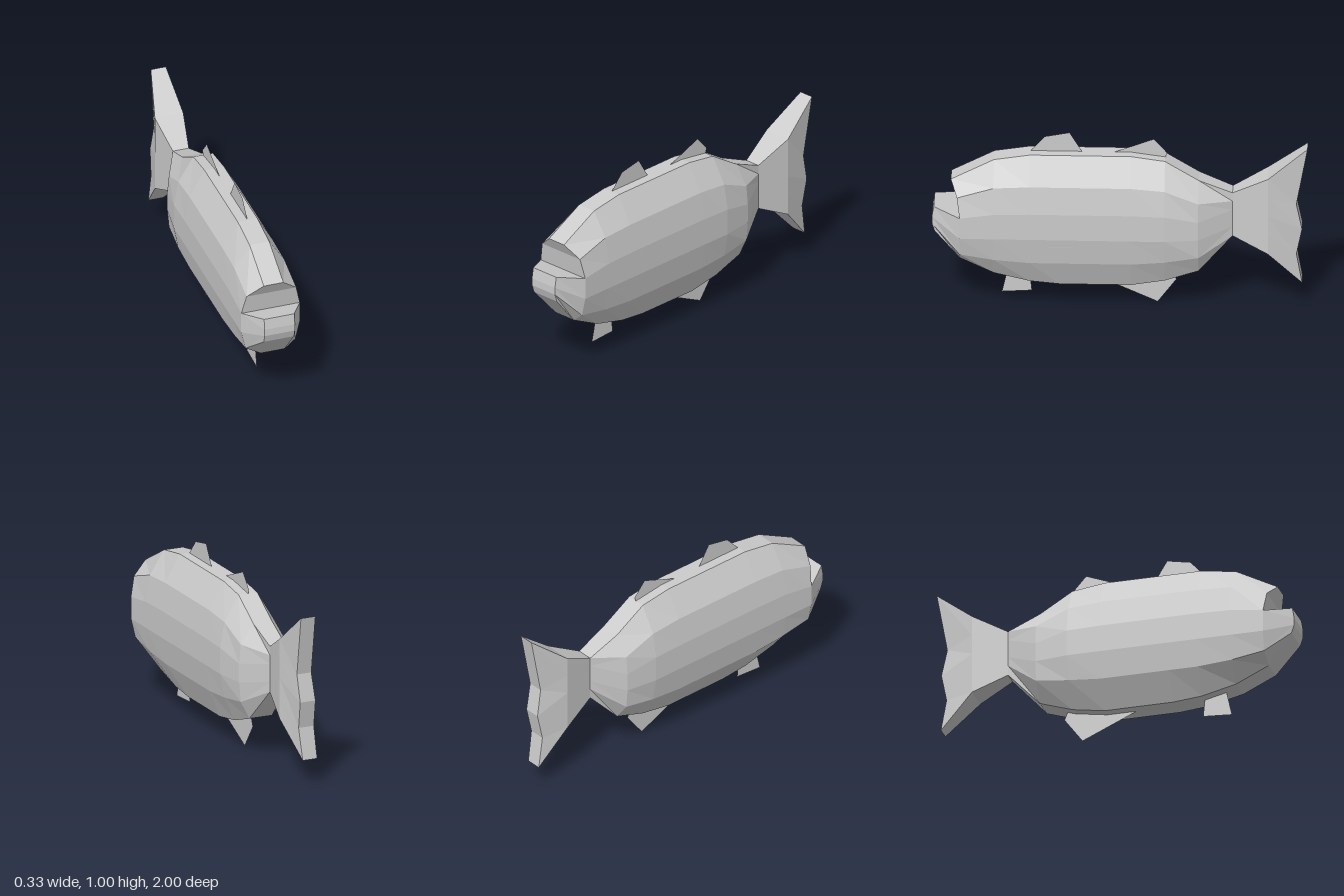
import * as THREE from 'three';

const material = new THREE.MeshStandardMaterial({ color: 0xcccccc, flatShading: true });
const finMaterial = new THREE.MeshStandardMaterial({ color: 0xcccccc, flatShading: true, side: THREE.DoubleSide });

// Cross-section: rows run from top to bottom, each [x, y, z, x of the other side].
const side = (rows) => ({
  left: rows.map(([x, y, z]) => new THREE.Vector3(x, y, z)),
  right: rows.map(([x, y, z, other = x]) => new THREE.Vector3(-other, y, z)),
});
const loop = (s) => [...s.left, ...[...s.right].reverse()];

function quad(out, a, b, c, d) {
  for (const p of [a, b, c, a, c, d]) out.push(p);
}

// Skin between consecutive sections, front to back.
function loft(out, sections, closed = true) {
  for (let k = 0; k < sections.length - 1; k++) {
    const a = loop(sections[k]), b = loop(sections[k + 1]);
    const n = a.length;
    for (let i = 0; i < (closed ? n : n - 1); i++) {
      const j = (i + 1) % n;
      quad(out, a[i], a[j], b[j], b[i]);
    }
  }
}

// Strips running across from right to left, facing forward or backward.
function across(out, s, backward = false) {
  const [p, q] = backward ? [s.left, s.right] : [s.right, s.left];
  for (let i = 0; i < p.length - 1; i++) quad(out, p[i], p[i + 1], q[i + 1], q[i]);
}

function mesh(name, points) {
  const geometry = new THREE.BufferGeometry().setFromPoints(points);
  geometry.computeVertexNormals();
  const m = new THREE.Mesh(geometry, material);
  m.name = name;
  return m;
}

// Flat fin in the middle plane, outline as [z, y].
function fin(name, outline) {
  const shape = new THREE.Shape(outline.map(([z, y]) => new THREE.Vector2(-z, y)));
  const m = new THREE.Mesh(new THREE.ShapeGeometry(shape), finMaterial);
  m.rotation.y = Math.PI / 2;
  m.name = name;
  return m;
}

export function createModel() {
  const fish = new THREE.Group();
  fish.name = 'fish';

  // Body: six heights per station, belly slightly wider on the left
  const widths = [0.055, 0.14, 0.165, 0.165, 0.14, 0.08];
  const station = (z, ys, xs = widths, belly = 0.055) =>
    side(ys.map((y, i) => [xs[i], y, z, i === 5 ? belly : xs[i]]));
  const mouthRows = [
    [0.055, 0.74, 0.9], [0.14, 0.67, 0.865], [0.165, 0.56, 0.85],
    [0.165, 0.44, 0.85], [0.14, 0.335, 0.85], [0.08, 0.285, 0.85, 0.055],
  ];
  const stations = [
    side(mouthRows),
    station(0.67, [0.86, 0.73, 0.585, 0.44, 0.305, 0.2]),
    station(0.48, [0.89, 0.74, 0.59, 0.44, 0.29, 0.155]),
    station(0.32, [0.89, 0.74, 0.59, 0.44, 0.29, 0.14]),
    station(-0.06, [0.89, 0.74, 0.59, 0.44, 0.29, 0.14]),
    station(-0.24, [0.865, 0.725, 0.585, 0.44, 0.305, 0.17]),
    station(-0.42, [0.755, 0.65, 0.545, 0.44, 0.33, 0.23], [0.055, 0.13, 0.14, 0.14, 0.13, 0.08]),
    station(-0.6, [0.68, 0.63, 0.58, 0.53, 0.48, 0.425], Array(6).fill(0.045), 0.045),
  ];
  const body = [];
  loft(body, stations);
  across(body, side(mouthRows.slice(0, 3)));
  fish.add(mesh('body', body));

  // Jutting lower jaw with the floor of the open mouth
  const lipRows = [[0.085, 0.59, 0.99], [0.085, 0.53, 1], [0.085, 0.49, 1], [0.085, 0.445, 0.985]];
  const jaw = [];
  loft(jaw, [side(lipRows), side(mouthRows.slice(2))], false);
  across(jaw, side([mouthRows[2], ...lipRows]));
  fish.add(mesh('lowerJaw', jaw));

  // Tail fin: thick wedge with a scalloped trailing edge
  const trailing = [
    [0.055, 0.95, -1, 0.03], [0.05, 0.62, -0.94, 0.035], [0.045, 0.47, -0.97, 0.045],
    [0.04, 0.32, -0.94, 0.05], [0.03, 0.145, -0.97, 0.055],
  ];
  const tail = [];
  loft(tail, [
    side([0.68, 0.62, 0.55, 0.49, 0.425].map((y) => [0.045, y, -0.6])),
    side([0.78, 0.67, 0.56, 0.45, 0.335].map((y) => [0.08, y, -0.79])),
    side(trailing),
  ]);
  across(tail, side(trailing), true);
  fish.add(mesh('tailFin', tail));

  // Thin fins
  fish.add(
    fin('frontDorsalFin', [[0.48, 0.885], [0.4, 0.975], [0.27, 1.0], [0.2, 0.885]]),
    fin('rearDorsalFin', [[0.03, 0.89], [-0.18, 0.97], [-0.25, 0.89], [-0.24, 0.86]]),
    fin('pelvicFin', [[0.6, 0.185], [0.63, 0.05], [0.47, 0.06], [0.48, 0.16]]),
    fin('analFin', [[0.1, 0.14], [-0.2, 0.005], [-0.3, 0.14], [-0.28, 0.19]]),
  );
  return fish;
}
